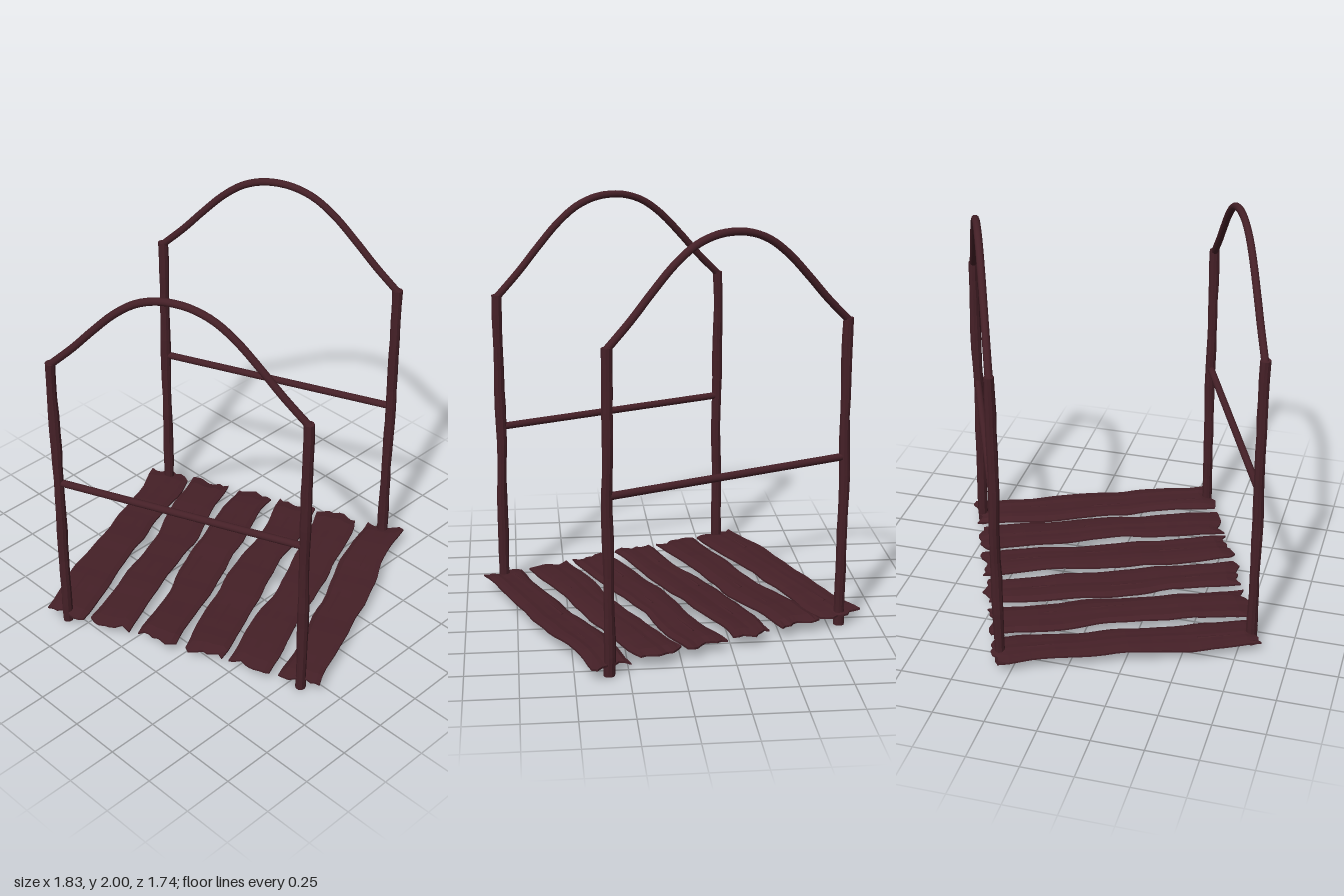
import * as THREE from 'three';

const wood = new THREE.MeshStandardMaterial({ color: 0x452027, roughness: 0.9, flatShading: true });
const smoothWood = new THREE.MeshStandardMaterial({ color: 0x452027, roughness: 0.9 });
const HALF_U = 0.623, HALF_V = 0.61, POST_H = 1.53;

function add(parent, name, geometry, material = wood) {
  const mesh = new THREE.Mesh(geometry, material);
  mesh.name = name;
  parent.add(mesh);
  return mesh;
}

// Move every vertex by a rule that depends only on its position
function reshape(geometry, rule) {
  const p = geometry.attributes.position, v = new THREE.Vector3();
  for (let i = 0; i < p.count; i++) {
    rule(v.fromBufferAttribute(p, i));
    p.setXYZ(i, v.x, v.y, v.z);
  }
  geometry.computeVertexNormals();
  return geometry;
}

// Smooth irregular wave in about -1..1
const wave = (t, seed) =>
  0.55 * Math.sin(t * 6.1 + seed * 2.3) + 0.3 * Math.sin(t * 13.7 + seed * 4.1) + 0.15 * Math.sin(t * 29 + seed * 7.7);

// Rough-hewn plank: wavy sides, ragged ends, thin rim
function plankGeometry(seed, outer) {
  const W = 0.205, L = 1.27;
  return reshape(new THREE.BoxGeometry(W, 0.032, L, 8, 1, 22), (v) => {
    const a = v.x / (W / 2), b = v.z / (L / 2);
    const side = Math.sign(a);
    const rim = Math.max(Math.abs(a) ** 6, Math.abs(b) ** 24);
    v.y *= 1 - 0.7 * rim;
    v.y += 0.005 * wave(v.z * 1.2, seed + 3) + 0.003 * wave(v.x * 8, seed + 6);
    if (outer) v.y += -0.006 * Math.sign(outer) * a * a * a;
    v.x += Math.abs(a) * 0.016 * wave(v.z, seed + side * 1.7) + 0.01 * wave(v.z * 0.7, seed + 9);
    v.z += b ** 8 * Math.sign(b) * 0.026 * wave(v.x * 5 + seed, seed + Math.sign(b));
  });
}

// Slightly crooked, hand-cut post
function postGeometry(seed) {
  return reshape(new THREE.CylinderGeometry(0.025, 0.026, POST_H, 10, 16), (v) => {
    const angle = Math.atan2(v.z, v.x);
    const k = 1 + 0.07 * wave(v.y * 2, seed) + 0.05 * Math.sin(angle * 2 + v.y * 9 + seed);
    v.x = v.x * k + 0.004 * wave(v.y, seed + 2);
    v.z = v.z * k + 0.004 * wave(v.y, seed + 5);
    v.y += POST_H / 2;
  });
}

export function createModel() {
  const root = new THREE.Group();
  root.name = 'footbridge';
  const bridge = new THREE.Group();
  bridge.name = 'turnedBridge';
  bridge.rotation.y = 0.394;
  root.add(bridge);

  // Deck planks with raised grain splinters
  for (let i = 0; i < 6; i++) {
    const plank = new THREE.Group();
    plank.name = 'plank' + (i + 1);
    plank.position.set((i - 2.5) * 0.249, 0.06, 0);
    bridge.add(plank);
    add(plank, 'board', plankGeometry(i * 1.9 + 0.4, i === 0 ? 1 : i === 5 ? -1 : 0));
    for (let j = 0; j < 3; j++) {
      const splinter = add(plank, 'grainSplinter', new THREE.CylinderGeometry(0.003, 0.008, 0.16, 4));
      splinter.rotation.x = Math.PI / 2;
      splinter.scale.z = 0.35;
      splinter.position.set(0.05 * wave(j * 2, i), 0.016, (j - 1) * 0.38 + 0.1 * wave(j, i + 4));
    }
  }

  // Arch profile: position along the half span, height
  const half = [[1, 1.52], [0.81, 1.635], [0.64, 1.75], [0.465, 1.86], [0.3, 1.935], [0.14, 1.972]];
  const profile = [...half.map(([s, y]) => [-s, y]), [0, 1.981], ...half.slice().reverse()];
  const archCurve = new THREE.CatmullRomCurve3(
    profile.map(([s, y]) => new THREE.Vector3(s * HALF_U, y, 0)));

  // Two side frames, each with posts, handrail and arch
  for (const side of [-1, 1]) {
    const frame = new THREE.Group();
    frame.name = side > 0 ? 'frontFrame' : 'backFrame';
    frame.position.z = side * HALF_V;
    bridge.add(frame);
    for (const end of [-1, 1]) {
      const post = add(frame, end > 0 ? 'leftPost' : 'rightPost', postGeometry(side * 2 + end * 3.3));
      post.position.x = end * HALF_U;
    }
    const rail = add(frame, 'handrail', new THREE.CylinderGeometry(0.018, 0.018, HALF_U * 2, 12), smoothWood);
    rail.rotation.z = Math.PI / 2;
    rail.position.y = 0.857;
    add(frame, 'arch', new THREE.TubeGeometry(archCurve, 48, 0.018, 10), smoothWood);
  }
  return root;
}
